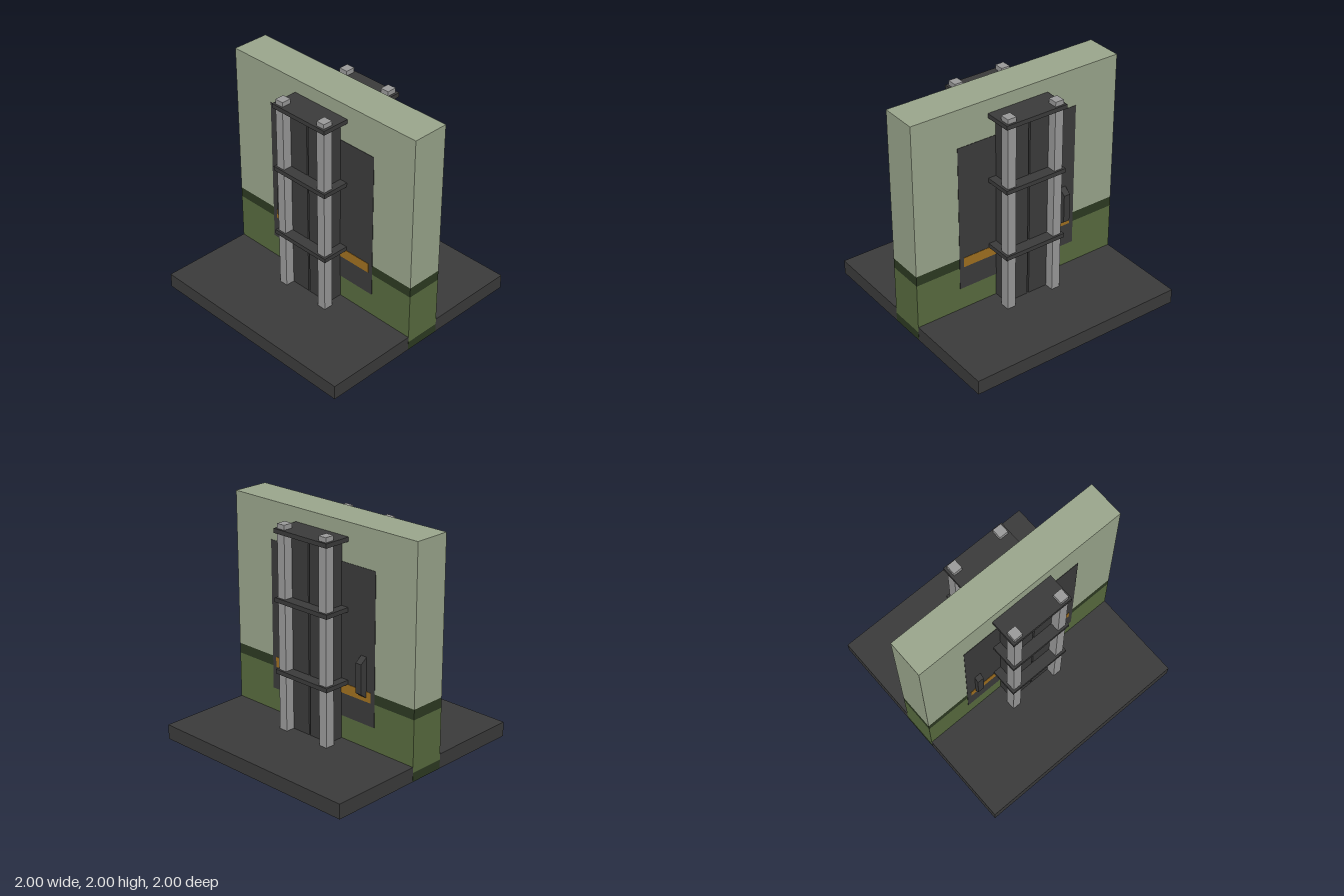
import * as THREE from 'three';

const mat = (name, color) => {
  const m = new THREE.MeshStandardMaterial({ color });
  m.name = name;
  return m;
};

export function createModel() {
  const paleGreen = mat('paleGreen', 0x9aa68c);
  const midGreen = mat('midGreen', 0x586b3f);
  const darkGreen = mat('darkGreen', 0x2d3a22);
  const charcoal = mat('charcoal', 0x3b3b3b);
  const steel = mat('steel', 0x9a9a9a);
  const amber = mat('amber', 0xa07020);

  const model = new THREE.Group();
  model.name = 'wallDoor';

  // Box given by its minimum and maximum on each axis
  const box = (parent, name, material, [x0, x1], [y0, y1], [z0, z1]) => {
    const mesh = new THREE.Mesh(new THREE.BoxGeometry(x1 - x0, y1 - y0, z1 - z0), material);
    mesh.position.set((x0 + x1) / 2, (y0 + y1) / 2, (z0 + z1) / 2);
    mesh.name = name;
    parent.add(mesh);
    return mesh;
  };

  const W = 0.165; // half the wall thickness

  // Floor slab, a hair narrower than the wall that runs through it
  box(model, 'floorSlab', charcoal, [-0.999, 0.999], [0, 0.13], [-1, 1]);

  // Wall in painted bands
  const bands = [
    ['wallFoot', darkGreen, 0.002, 0.08],
    ['wallLower', midGreen, 0.08, 0.54],
    ['wallStripe', darkGreen, 0.54, 0.63],
    ['wallUpper', paleGreen, 0.63, 2],
  ];
  for (const [name, material, y0, y1] of bands) {
    box(model, name, material, [-1, 1], [y0, y1], [-W, W]);
  }

  // Lever handle with sloping ends, extruded across its width
  const handle = (depth) => {
    const s = new THREE.Shape();
    s.moveTo(0, 0.57);
    s.lineTo(depth, 0.62);
    s.lineTo(depth, 0.88);
    s.lineTo(0, 0.93);
    s.closePath();
    const geo = new THREE.ExtrudeGeometry(s, { depth: 0.06, bevelEnabled: false });
    geo.rotateY(-Math.PI / 2); // profile now faces +z, width runs to -x
    const mesh = new THREE.Mesh(geo, charcoal);
    mesh.name = 'handle';
    return mesh;
  };

  // Each side of the wall carries the same door and pillar frame
  for (const side of [1, -1]) {
    const face = new THREE.Group();
    face.name = side > 0 ? 'frontFace' : 'backFace';
    face.rotation.y = side > 0 ? 0 : Math.PI;
    model.add(face);

    box(face, 'doorPanel', charcoal, [-0.583, 0.583], [0.335, 1.665], [W, W + 0.003]);
    box(face, 'doorStripe', amber, [-0.543, 0.543], [0.54, 0.63], [W + 0.003, W + 0.006]);

    // Both handles sit at the same end of the wall
    const grip = handle(side > 0 ? 0.041 : 0.066);
    grip.position.set(side > 0 ? -0.435 : 0.495, 0, W);
    face.add(grip);

    // Pillars and the stacked panels between them
    for (const s of [1, -1]) {
      const span = (a, b) => (s > 0 ? [a, b] : [-b, -a]);
      box(face, 'pillar', steel, span(0.19, 0.27), [0.13, 1.92], [0.31, 0.396]);
      for (const [y0, y1] of [[0.13, 0.62], [0.65, 1.245], [1.275, 1.85]]) {
        box(face, 'pillarPanel', charcoal, span(0.008, 0.22), [y0, y1], [W, 0.314]);
      }
    }

    // Brackets tying the pillars to the wall
    for (const y of [0.63, 1.257, 1.841]) {
      box(face, 'bracket', charcoal, [-0.292, 0.292], [y, y + 0.038], [W, 0.414]);
    }
  }

  return model;
}
